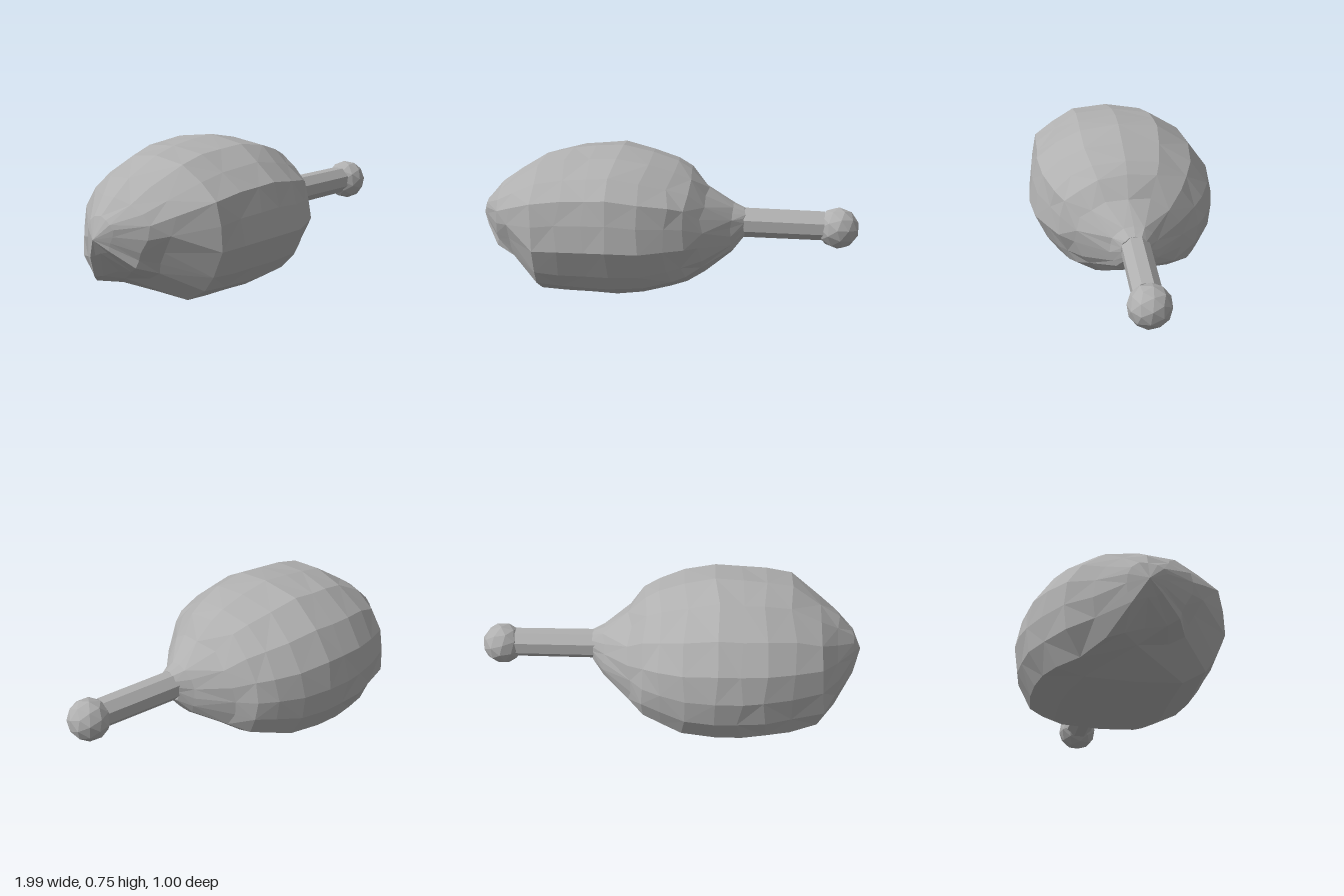
import * as THREE from 'three';

const stone = new THREE.MeshStandardMaterial({ color: 0xb0b0b0, flatShading: true });
stone.name = 'stone grey';

// Stations along the body: x, bottom y, top y, back z, front z
const STATIONS = [
  [-0.955, 0.24, 0.45, -0.09, 0.1],
  [-0.87, 0.1, 0.53, -0.225, 0.245],
  [-0.78, 0.035, 0.605, -0.345, 0.325],
  [-0.62, 0.002, 0.695, -0.425, 0.475],
  [-0.48, 0.0, 0.725, -0.475, 0.485],
  [-0.36, 0.0, 0.735, -0.497, 0.492],
  [-0.24, 0.0, 0.745, -0.503, 0.497],
  [-0.08, 0.012, 0.712, -0.48, 0.473],
  [0.05, 0.045, 0.67, -0.425, 0.415],
  [0.13, 0.07, 0.63, -0.37, 0.365],
  [0.21, 0.12, 0.535, -0.275, 0.285],
  [0.35, 0.205, 0.45, -0.13, 0.12],
  [0.41, 0.28, 0.425, -0.075, 0.07],
];

// Cross-sections as z share, y share: the main body, and the skewed blunt end
const MAIN = [
  [1, 0.42], [0.96, 0.6], [0.9, 0.76], [0.68, 0.87], [0.43, 0.97], [0.02, 1],
  [-0.4, 0.96], [-0.74, 0.81], [-0.94, 0.62], [-1, 0.43], [-0.97, 0.25], [-0.84, 0.08],
  [-0.57, 0.005], [0, 0], [0.48, 0.01], [0.74, 0.11], [0.87, 0.22],
];
const BLUNT = [
  [0.8, 0.45], [0.95, 0.6], [1, 0.76], [0.82, 0.87], [0.5, 0.95], [0.05, 1],
  [-0.4, 0.97], [-0.75, 0.85], [-0.95, 0.67], [-1, 0.45], [-0.96, 0.22], [-0.75, 0],
  [-0.4, 0.06], [0, 0.15], [0.45, 0.2], [0.68, 0.27], [0.72, 0.36],
];

function seeded(seed) {
  return () => {
    seed = (seed * 16807) % 2147483647;
    return seed / 2147483647 - 0.5;
  };
}

// Faceted body: slightly uneven rings, closed by a fan at each end
function bodyGeometry() {
  const sides = MAIN.length, rings = STATIONS.length, rand = seeded(71);
  const pos = [], index = [];
  for (const [x, y0, y1, z0, z1] of STATIONS) {
    const blunt = THREE.MathUtils.clamp((-0.6 - x) / 0.2, 0, 1);
    const rough = 0.035 * Math.min(1, (y1 - y0) / 0.5);
    for (let j = 0; j < sides; j++) {
      const z = THREE.MathUtils.lerp(MAIN[j][0], BLUNT[j][0], blunt);
      const y = THREE.MathUtils.lerp(MAIN[j][1], BLUNT[j][1], blunt);
      const dent = 1 + 0.5 * rough * rand();
      pos.push(
        x + rand() * rough,
        Math.max(0, (y0 + y1) / 2 + (y - 0.5) * dent * (y1 - y0)),
        (z0 + z1) / 2 + z * dent * (z1 - z0) / 2);
    }
  }
  const id = (i, j) => i * sides + (j % sides);
  for (let i = 0; i < rings - 1; i++) {
    for (let j = 0; j < sides; j++) {
      const a = id(i, j), b = id(i, j + 1), c = id(i + 1, j), d = id(i + 1, j + 1);
      if ((i + j) % 2) index.push(a, d, b, a, c, d);
      else index.push(a, c, b, b, c, d);
    }
  }
  const tip = rings * sides;
  pos.push(-1, 0.345, 0.005, 0.41, 0.35, 0);
  for (let j = 0; j < sides; j++) {
    index.push(tip, id(0, j), id(0, j + 1));
    index.push(tip + 1, id(rings - 1, j + 1), id(rings - 1, j));
  }
  const geo = new THREE.BufferGeometry();
  geo.setAttribute('position', new THREE.Float32BufferAttribute(pos, 3));
  geo.setIndex(index);
  geo.computeVertexNormals();
  return geo;
}

export function createModel() {
  const group = new THREE.Group();
  const add = (name, geometry) => {
    const mesh = new THREE.Mesh(geometry, stone);
    mesh.name = name;
    group.add(mesh);
    return mesh;
  };

  add('body', bodyGeometry());

  // Eight-sided handle with flat top and sides
  const stem = new THREE.CylinderGeometry(0.075, 0.077, 0.46, 8);
  stem.rotateY(Math.PI / 8).rotateZ(-Math.PI / 2);
  add('handle', stem).position.set(0.59, 0.35, -0.005);

  // Faceted knob at the end of the handle
  const knob = new THREE.IcosahedronGeometry(0.108, 1);
  knob.rotateX(0.4).rotateZ(0.3);
  add('knob', knob).position.set(0.89, 0.342, -0.005);

  return group;
}
